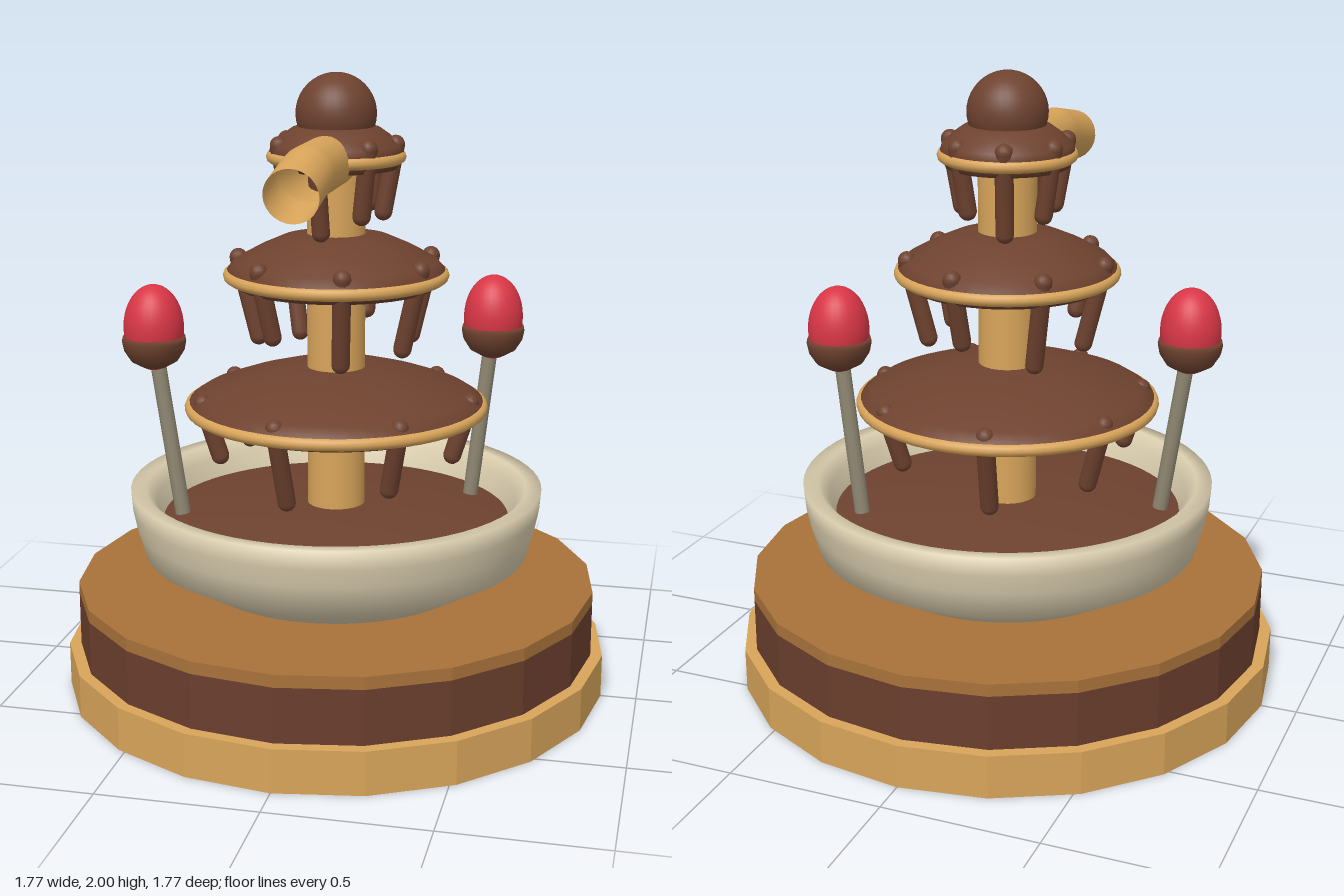
import * as THREE from 'three';

const mat = (name, color, extra = {}) => {
  const m = new THREE.MeshStandardMaterial({ color, ...extra });
  m.name = name;
  return m;
};

export function createModel() {
  const model = new THREE.Group();
  model.name = 'chocolateFountain';

  const biscuit = mat('biscuit', 0xd8a45a, { side: THREE.DoubleSide });
  const biscuitFlat = mat('biscuitFaceted', 0xd8a45a, { flatShading: true });
  const chocolate = mat('chocolate', 0x6e422f);
  const chocolateFlat = mat('chocolateFaceted', 0x6a3e2d, { flatShading: true });
  const caramel = mat('caramel', 0xa8723a, { flatShading: true });
  const cream = mat('cream', 0xdacdae, { side: THREE.DoubleSide });
  const wood = mat('stickWood', 0x8f8772);
  const red = mat('berryRed', 0xd93646);

  const add = (name, geometry, material, parent = model) => {
    const mesh = new THREE.Mesh(geometry, material);
    mesh.name = name;
    parent.add(mesh);
    return mesh;
  };
  const lathe = (pts, seg = 48) =>
    new THREE.LatheGeometry(pts.map(([r, y]) => new THREE.Vector2(r, y)), seg);

  // Rod between two points, optionally with rounded ends
  const rod = (name, a, b, r, material, round, parent) => {
    const dir = b.clone().sub(a);
    const len = dir.length();
    const geo = round
      ? new THREE.CapsuleGeometry(r, len, 5, 12)
      : new THREE.CylinderGeometry(r, r, len, 10);
    const mesh = add(name, geo, material, parent);
    mesh.position.copy(a).add(b).multiplyScalar(0.5);
    mesh.quaternion.setFromUnitVectors(new THREE.Vector3(0, 1, 0), dir.normalize());
    return mesh;
  };

  // Twenty-sided layered base
  const layer = (name, r, y0, y1, material) => {
    add(name, new THREE.CylinderGeometry(r, r, y1 - y0, 20), material).position.y = (y0 + y1) / 2;
  };
  layer('baseBottom', 0.885, 0, 0.14, biscuitFlat);
  layer('baseMiddle', 0.847, 0.14, 0.315, chocolateFlat);
  layer('baseTop', 0.847, 0.315, 0.355, caramel);

  // Bowl and the shallow dome of chocolate in it
  add('bowl', lathe([
    [0, 0.357], [0.45, 0.357], [0.54, 0.41], [0.627, 0.46], [0.652, 0.55],
    [0.664, 0.61], [0.669, 0.672], [0.62, 0.67], [0.585, 0.63], [0.56, 0.55],
  ], 64), cream);
  add('chocolatePool', lathe([
    [0.572, 0.565], [0.5, 0.578], [0.38, 0.592], [0.2, 0.604], [0, 0.61],
  ], 64), chocolate);

  // Central column
  add('column', new THREE.CylinderGeometry(0.093, 0.093, 1.22, 32), biscuit).position.y = 1.16;

  // Tiers: domed plate, biscuit rim and seven drips each
  const tiers = [
    { r: 0.49, rim: 0.937, top: 1.067, neck: 0.13, dripR: 0.437, dripTop: 0.965,
      ends: [0.76, 0.725, 0.68], slope: 0.31 },
    { r: 0.36, rim: 1.366, top: 1.5, neck: 0.11, dripR: 0.318, dripTop: 1.41,
      ends: [1.125, 1.1, 1.17], slope: 0.25 },
    { r: 0.22, rim: 1.74, top: 1.84, neck: 0.11, dripR: 0.187, dripTop: 1.78,
      ends: [1.54, 1.49, 1.55], slope: 0.18 },
  ];
  tiers.forEach((t, n) => {
    const tier = new THREE.Group();
    tier.name = 'tier' + (n + 1);
    model.add(tier);
    const span = t.r - t.neck;
    const rise = t.top - t.rim - 0.02;
    const edge = t.rim + 0.02;
    add('tierDome', lathe([
      [0, t.rim - 0.035], [t.r * 0.88, t.rim - 0.035], [t.r - 0.015, t.rim - 0.01],
      [t.r - 0.01, edge - 0.005], [t.r - span * 0.15, edge + rise * 0.22],
      [t.r - span * 0.45, edge + rise * 0.58], [t.r - span * 0.75, edge + rise * 0.87],
      [t.neck, t.top - 0.003], [0, t.top],
    ]), chocolate, tier);
    const rim = add('tierRim', new THREE.TorusGeometry(t.r - 0.02, 0.02, 10, 48), biscuit, tier);
    rim.rotation.x = Math.PI / 2;
    rim.position.y = t.rim;

    const dripRadius = 0.029;
    for (let i = 0; i < 7; i++) {
      const a = n * 0.4 + (i * Math.PI * 2) / 7;
      const at = (r, y) => new THREE.Vector3(r * Math.cos(a), y, r * Math.sin(a));
      const end = t.ends[i % 3] + dripRadius;
      rod('drip', at(t.dripR - t.slope * (t.dripTop - end), end), at(t.dripR, t.dripTop),
        dripRadius, chocolate, true, tier);
    }
  });

  // Ball on top
  add('topBall', new THREE.SphereGeometry(0.127, 32, 20), chocolate).position.y = 1.873;

  // Open spout with a bent end
  const path = new THREE.CurvePath();
  const p = [[1.737, 0.06], [1.737, 0.4], [1.698, 0.59]].map(([y, z]) => new THREE.Vector3(0, y, z));
  path.add(new THREE.LineCurve3(p[0], p[1]));
  path.add(new THREE.LineCurve3(p[1], p[2]));
  add('spout', new THREE.TubeGeometry(path, 24, 0.083, 28, false), biscuit);

  // Dipped berries on sticks
  const skewer = (name, bottom, head) => {
    const g = new THREE.Group();
    g.name = name;
    model.add(g);
    rod('stick', new THREE.Vector3(...bottom), new THREE.Vector3(...head), 0.025, wood, false, g);
    const berry = add('berry', new THREE.SphereGeometry(1, 28, 20), red, g);
    berry.scale.set(0.097, 0.14, 0.097);
    berry.position.set(head[0], 1.193, head[2]);
    const dip = add('berryDip', lathe([
      [0, 1.06], [0.04, 1.065], [0.075, 1.085], [0.097, 1.12], [0.103, 1.15], [0.1, 1.165], [0, 1.166],
    ], 28), chocolate, g);
    dip.position.set(head[0], 0, head[2]);
  };
  skewer('rightSkewer', [-0.48, 0.56, 0.14], [-0.568, 1.15, 0.135]);
  skewer('leftSkewer', [0.405, 0.56, -0.258], [0.472, 1.15, -0.258]);

  return model;
}
